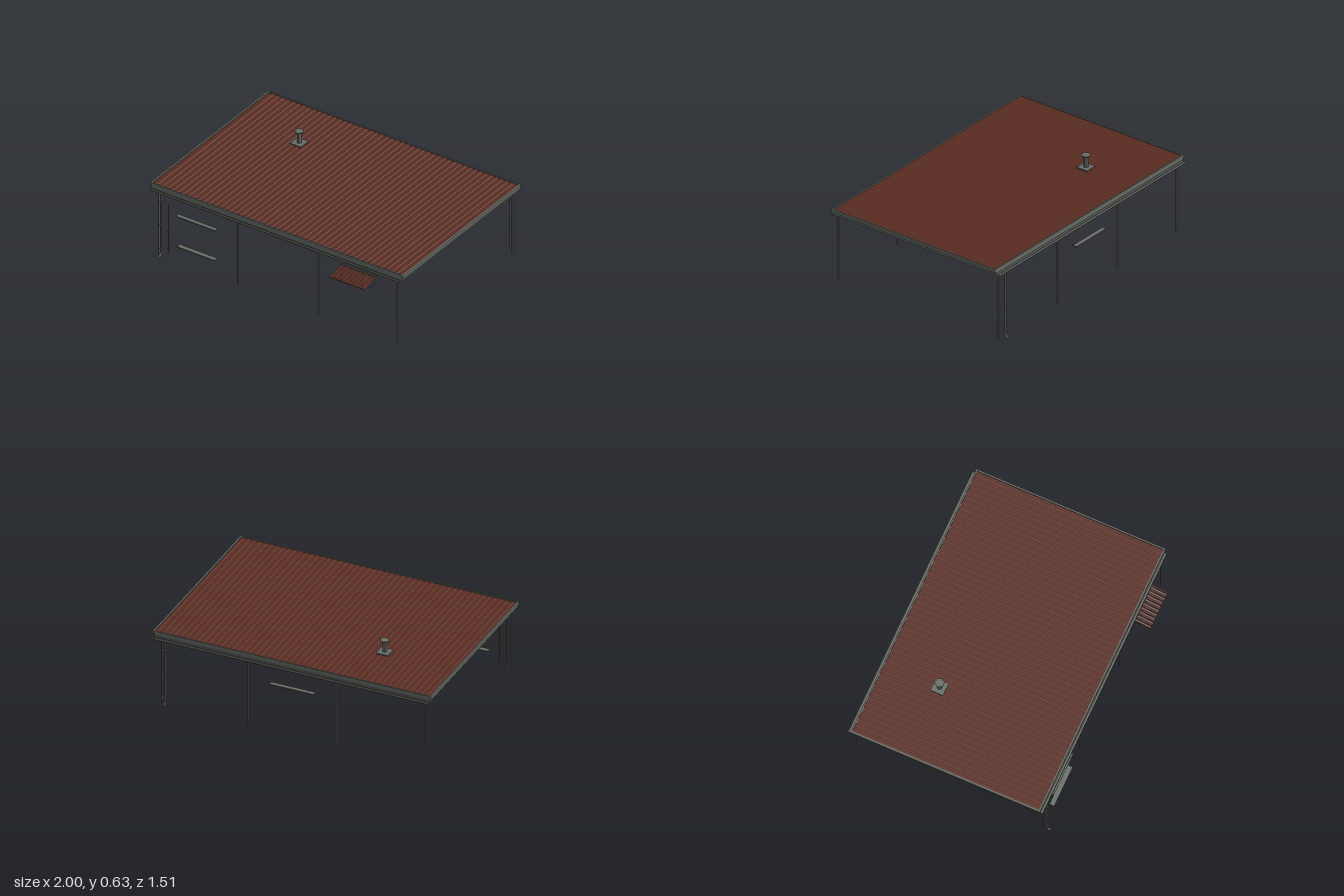
import * as THREE from 'three';

export function createModel() {
  const model = new THREE.Group();
  const grey = new THREE.MeshStandardMaterial({ name: 'greyMetal', color: 0x666c66, side: THREE.DoubleSide });
  const brown = new THREE.MeshStandardMaterial({ name: 'brownSheet', color: 0x5a2c22, side: THREE.DoubleSide });

  const add = (name, geo, mat = grey, parent = model) => {
    const mesh = new THREE.Mesh(geo, mat);
    mesh.name = name;
    parent.add(mesh);
    return mesh;
  };
  // Box given by its extents
  const box = (name, x0, x1, y0, y1, z0, z1, mat = grey, parent = model) => {
    const m = add(name, new THREE.BoxGeometry(x1 - x0, y1 - y0, z1 - z0), mat, parent);
    m.position.set((x0 + x1) / 2, (y0 + y1) / 2, (z0 + z1) / 2);
    return m;
  };
  // Straight round bar between two points
  const bar = (name, a, b, r, parent = model) => {
    const p = new THREE.Vector3(...a), q = new THREE.Vector3(...b);
    const d = q.clone().sub(p);
    const m = add(name, new THREE.CylinderGeometry(r, r, d.length(), 8), grey, parent);
    m.position.copy(p).add(q).multiplyScalar(0.5);
    m.quaternion.setFromUnitVectors(new THREE.Vector3(0, 1, 0), d.normalize());
    return m;
  };
  // Ribbed sheet: trapezoid ribs across x, extruded along z from 0 to depth
  const ribbedSheet = (width, depth, ribs, height, thick) => {
    const top = [], step = width / ribs;
    for (let i = 0; i < ribs; i++) {
      const x = -width / 2 + i * step;
      top.push([x, 0], [x + step * 0.5, 0], [x + step * 0.62, height], [x + step * 0.88, height]);
    }
    top.push([width / 2, 0]);
    const lower = top.map(([x, y]) => [x, y - thick]).reverse();
    const shape = new THREE.Shape([...top, ...lower].map(([x, y]) => new THREE.Vector2(x, y)));
    return new THREE.ExtrudeGeometry(shape, { depth, bevelEnabled: false });
  };

  const ZF = 0.635, ZB = -0.715;

  // Roof: ribbed sheet, ceiling and stepped edge trim
  const sheet = add('roofSheet', ribbedSheet(1.978, ZF - ZB - 0.02, 48, 0.003, 0.003), brown);
  sheet.position.set(0, 0.537, ZB + 0.01);
  box('ceiling', -0.985, 0.985, 0.5, 0.504, ZB + 0.003, ZF - 0.003);
  for (const s of [-1, 1]) {
    const x = s * 0.994;
    box('upperSideTrim', x - 0.006, x + 0.006, 0.522, 0.545, ZB, ZF);
    const xl = s * 0.983;
    box('lowerSideTrim', xl - 0.006, xl + 0.006, 0.5, 0.522, ZB, ZF);
  }
  for (const [z, s] of [[ZF, -1], [ZB, 1]]) {
    const z0 = Math.min(z, z + s * 0.01), z1 = Math.max(z, z + s * 0.01);
    box('upperEndTrim', -1, 1, 0.522, 0.545, z0, z1);
    box('lowerEndTrim', -0.985, 0.985, 0.5, 0.522, z0, z1);
  }

  // Purlins under the ceiling
  for (const z of [0.5, 0.175, -0.255, -0.58])
    box('purlin', -0.955, 0.955, 0.477, 0.5, z - 0.008, z + 0.008);

  // Open gutters along both long eaves
  const gutterShape = new THREE.Shape([
    [-0.011, 0.016], [-0.011, -0.002], [-0.008, -0.006], [0.008, -0.006], [0.011, -0.002], [0.011, 0.016],
    [0.008, 0.016], [0.008, 0], [-0.008, 0], [-0.008, 0.016],
  ].map(p => new THREE.Vector2(...p)));
  for (const z of [0.641, -0.727]) {
    const geo = new THREE.ExtrudeGeometry(gutterShape, { depth: 1.976, bevelEnabled: false });
    geo.translate(0, 0, -0.988);
    const g = add('gutter', geo);
    g.rotation.y = Math.PI / 2;
    g.position.set(0, 0.498, z);
  }

  // Posts
  for (const z of [0.62, -0.7])
    for (const x of [-0.942, -0.318, 0.318, 0.942])
      box('post', x - 0.005, x + 0.005, 0, 0.502, z - 0.005, z + 0.005);

  // Downspouts with kicked-out feet and wall clips
  for (const [x, z, s] of [[-0.908, 0.645, 1], [0.905, -0.727, -1]]) {
    const path = new THREE.CurvePath();
    const pts = [[x, 0.497, z], [x, 0.036, z], [x, 0.017, z + s * 0.024]].map(p => new THREE.Vector3(...p));
    path.add(new THREE.LineCurve3(pts[0], pts[1]));
    path.add(new THREE.LineCurve3(pts[1], pts[2]));
    bar('downspout', pts[0].toArray(), pts[1].toArray(), 0.0065);
    bar('downspoutFoot', pts[1].toArray(), pts[2].toArray(), 0.0065);
    const elbow = add('downspoutElbow', new THREE.SphereGeometry(0.0065, 8, 6));
    elbow.position.copy(pts[1]);
    for (const y of [0.43, 0.26, 0.07]) {
      const za = z - s * 0.025, zb = z + s * 0.008;
      box('pipeClip', x - 0.009, x + 0.009, y - 0.003, y + 0.003, Math.min(z, zb) - 0.007, Math.max(z, zb));
      bar('clipPin', [x, y, za], [x, y, z], 0.002);
    }
  }

  // Thin wall conduit with brackets
  bar('conduit', [-0.865, 0.04, 0.622], [-0.865, 0.415, 0.622], 0.003);
  for (const y of [0.36, 0.21, 0.08])
    box('conduitBracket', -0.875, -0.855, y - 0.003, y + 0.003, 0.615, 0.626);

  // Window ledges, two at the front and one at the back
  box('upperLedge', -0.793, -0.48, 0.355, 0.362, 0.612, 0.642);
  box('lowerLedge', -0.786, -0.488, 0.123, 0.13, 0.608, 0.642);
  box('backLedge', -0.16, 0.155, 0.355, 0.362, -0.729, -0.698);

  // Door awning: sloping ribbed sheet on two triangular brackets
  const awning = new THREE.Group();
  awning.name = 'awning';
  model.add(awning);
  const slope = Math.atan2(0.025, 0.138);
  const cover = add('awningSheet', ribbedSheet(0.276, 0.14, 9, 0.006, 0.003), brown, awning);
  cover.position.set(0.635, 0.444, 0.617);
  cover.rotation.x = slope;
  box('awningFlashing', 0.495, 0.775, 0.444, 0.453, 0.612, 0.622, grey, awning);
  for (const x of [0.508, 0.758]) {
    bar('bracketUpright', [x, 0.372, 0.616], [x, 0.443, 0.616], 0.003, awning);
    bar('bracketArm', [x, 0.42, 0.616], [x, 0.418, 0.75], 0.003, awning);
    bar('bracketBrace', [x, 0.374, 0.616], [x, 0.417, 0.748], 0.003, awning);
    bar('bracketRafter', [x, 0.439, 0.616], [x, 0.417, 0.75], 0.003, awning);
  }
  bar('awningRail', [0.5, 0.418, 0.744], [0.77, 0.418, 0.744], 0.003, awning);

  // Roof vent: base plate, pipe and hexagonal cap
  const vent = new THREE.Group();
  vent.name = 'roofVent';
  vent.position.set(-0.478, 0, -0.313);
  model.add(vent);
  box('ventPlate', -0.043, 0.043, 0.538, 0.546, -0.043, 0.043, grey, vent);
  const pipe = add('ventPipe', new THREE.CylinderGeometry(0.017, 0.017, 0.085, 6), grey, vent);
  pipe.position.y = 0.586;
  pipe.rotation.y = Math.PI / 6;
  const cap = add('ventCap', new THREE.CylinderGeometry(0.033, 0.033, 0.006, 6), grey, vent);
  cap.position.y = 0.63;
  cap.rotation.y = Math.PI / 6;
  for (const m of [pipe, cap]) m.geometry = m.geometry.toNonIndexed(), m.geometry.computeVertexNormals();

  return model;
}
